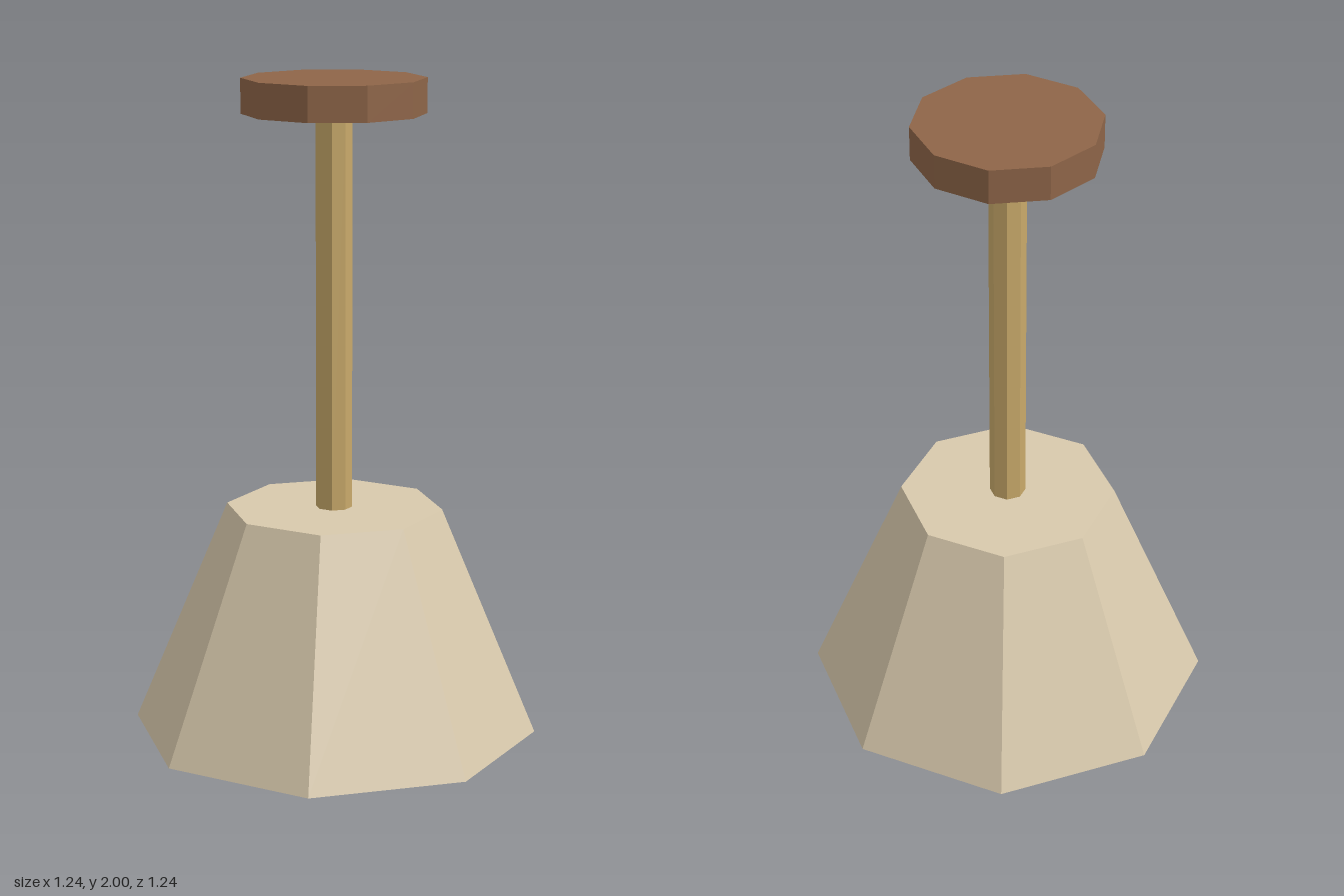
import * as THREE from 'three';

const flat = (name, color) => {
  const m = new THREE.MeshStandardMaterial({ color, flatShading: true });
  m.name = name;
  return m;
};

export function createModel() {
  const group = new THREE.Group();
  group.name = 'weightedPost';

  // Upright faceted cylinder between two heights
  const addPart = (name, material, rTop, rBottom, y0, y1, sides) => {
    const geometry = new THREE.CylinderGeometry(rTop, rBottom, y1 - y0, sides);
    const mesh = new THREE.Mesh(geometry, material);
    mesh.name = name;
    mesh.position.y = (y0 + y1) / 2;
    group.add(mesh);
  };

  // Tapered octagonal foot, slim rod and ten-sided cap
  addPart('base', flat('paleStone', 0xd8c9ac), 0.33, 0.622, 0, 0.7, 8);
  addPart('rod', flat('ochreWood', 0xc8a96a), 0.055, 0.055, 0.7, 1.9, 8);
  addPart('cap', flat('brownWood', 0x8e6548), 0.275, 0.275, 1.895, 2, 10);

  return group;
}
